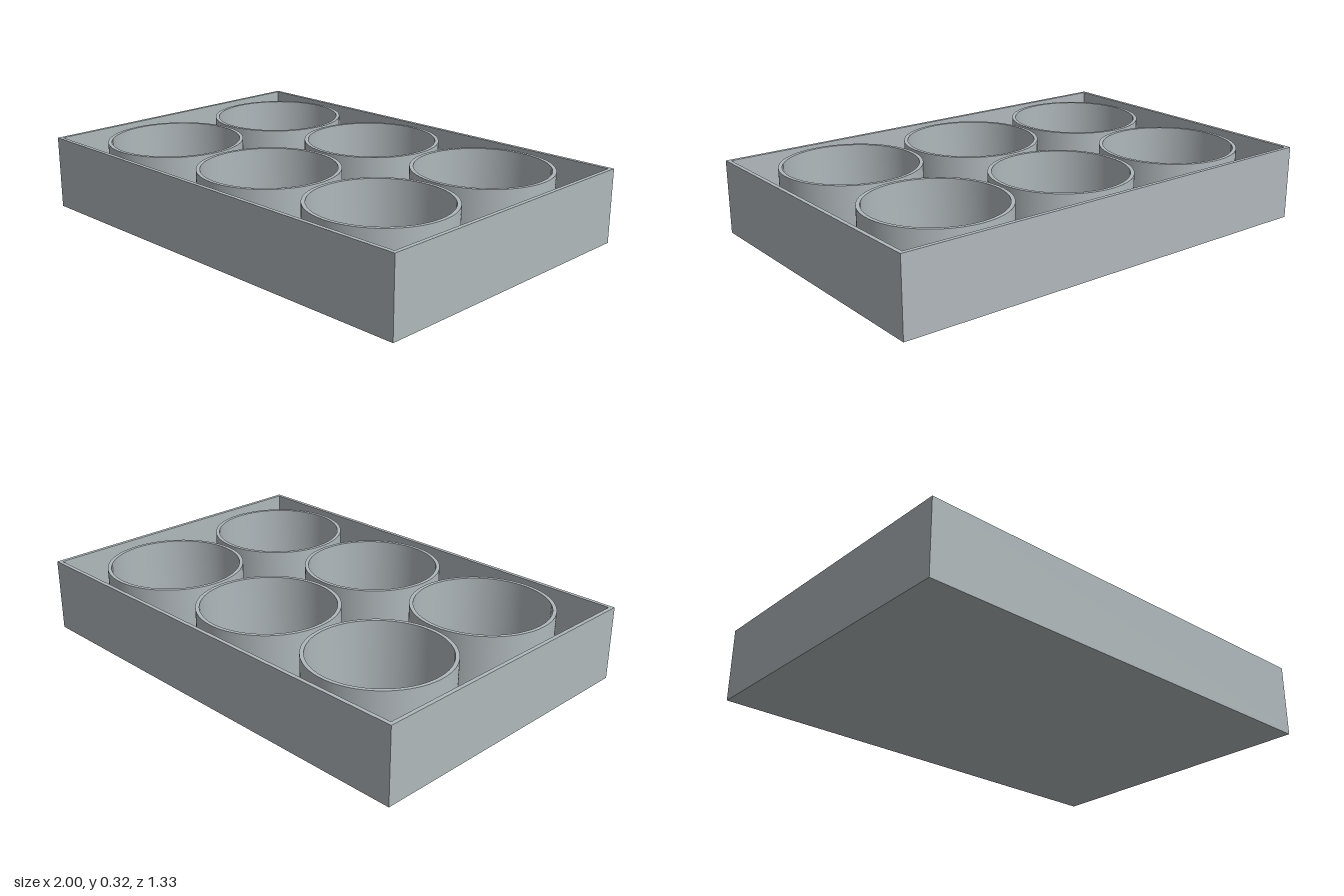
import * as THREE from 'three';
import { toCreasedNormals } from 'three/addons/utils/BufferGeometryUtils.js';

const WIDTH = 2, DEPTH = 1.333, HEIGHT = 0.32;
const WALL = 0.017, FLOOR = 0.017;
const RING_OUTER = 0.296, RING_INNER = 0.28, PITCH = 0.612;

function rectangle(path, w, d) {
  path.moveTo(-w / 2, -d / 2);
  path.lineTo(w / 2, -d / 2);
  path.lineTo(w / 2, d / 2);
  path.lineTo(-w / 2, d / 2);
  path.closePath();
  return path;
}

// Extrude a flat outline upward from y0 to y1
function extrudeUp(shape, y0, y1) {
  const geometry = new THREE.ExtrudeGeometry(shape, {
    depth: y1 - y0, bevelEnabled: false, curveSegments: 72,
  });
  geometry.rotateX(-Math.PI / 2);
  geometry.translate(0, y0, 0);
  return toCreasedNormals(geometry, Math.PI / 6);
}

export function createModel() {
  const group = new THREE.Group();
  group.name = 'sixCupTray';
  const grey = new THREE.MeshStandardMaterial({ color: 0xb0b8bb });
  grey.name = 'coolGrey';

  function add(name, geometry, x = 0, z = 0) {
    const mesh = new THREE.Mesh(geometry, grey);
    mesh.name = name;
    mesh.position.set(x, 0, z);
    group.add(mesh);
  }

  // Tray floor
  const floor = new THREE.BoxGeometry(WIDTH, FLOOR, DEPTH);
  floor.translate(0, FLOOR / 2, 0);
  add('trayFloor', floor);

  // Thin outer walls
  const frame = rectangle(new THREE.Shape(), WIDTH, DEPTH);
  frame.holes.push(rectangle(new THREE.Path(), WIDTH - 2 * WALL, DEPTH - 2 * WALL));
  add('trayWalls', extrudeUp(frame, FLOOR, HEIGHT));

  // Six round holders, as tall as the walls
  const ring = new THREE.Shape();
  ring.absarc(0, 0, RING_OUTER, 0, Math.PI * 2);
  const bore = new THREE.Path();
  bore.absarc(0, 0, RING_INNER, 0, Math.PI * 2, true);
  ring.holes.push(bore);
  const ringGeometry = extrudeUp(ring, FLOOR, HEIGHT);
  for (const row of [-0.5, 0.5]) {
    for (const column of [-1, 0, 1]) {
      add('cupHolder', ringGeometry, column * PITCH, row * PITCH);
    }
  }
  return group;
}
